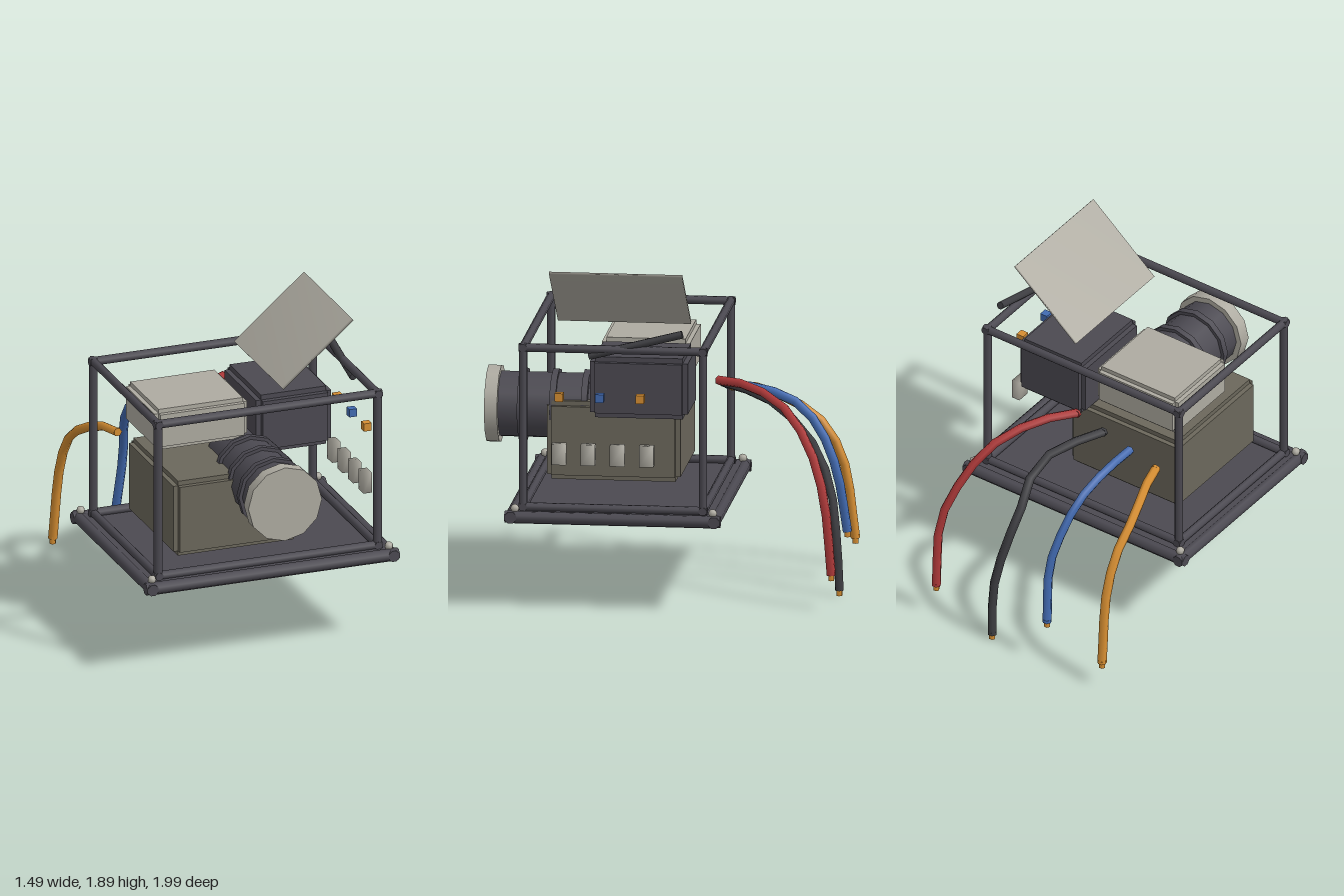
import * as THREE from 'three';
import { mergeVertices } from 'three/addons/utils/BufferGeometryUtils.js';

const material = (name, color) => {
  const m = new THREE.MeshStandardMaterial({ color });
  m.name = name;
  return m;
};

export function createModel() {
  const charcoal = material('charcoal', 0x4b4951);
  const black = material('black', 0x3e3e42);
  const lightGrey = material('light grey', 0xaeaba1);
  const olive = material('olive grey', 0x6b675b);
  const red = material('red', 0xb03a3a);
  const blue = material('blue', 0x426bb2);
  const orange = material('orange', 0xd68e32);

  const model = new THREE.Group();
  model.name = 'cameraRig';

  const add = (name, geometry, mat, x = 0, y = 0, z = 0, parent = model) => {
    const mesh = new THREE.Mesh(geometry, mat);
    mesh.name = name;
    mesh.position.set(x, y, z);
    parent.add(mesh);
    return mesh;
  };

  // Straight bar between two points
  const up = new THREE.Vector3(0, 1, 0);
  const bar = (name, from, to, radius, mat, sides = 8) => {
    const a = new THREE.Vector3(...from), b = new THREE.Vector3(...to);
    const dir = b.clone().sub(a);
    const geo = new THREE.CylinderGeometry(radius, radius, dir.length(), sides);
    geo.rotateY(Math.PI / sides);
    const mesh = add(name, geo, mat);
    mesh.position.copy(a).add(b).multiplyScalar(0.5);
    mesh.quaternion.setFromUnitVectors(up, dir.normalize());
    return mesh;
  };

  // Rectangle of four bars
  const barRing = (name, x, y, z0, z1, r) => {
    for (const z of [z0, z1]) bar(name, [-x - r, y, z], [x + r, y, z], r, charcoal);
    for (const s of [-x, x]) bar(name, [s, y, z0 - r], [s, y, z1 + r], r, charcoal);
  };

  // Box whose edges are stepped in, made of three crossing blocks
  const steppedBox = (name, min, max, step, mat) => {
    const group = new THREE.Group();
    group.name = name;
    const size = max.map((v, i) => v - min[i]);
    group.position.set(...max.map((v, i) => (v + min[i]) / 2));
    for (let axis = 0; axis < 3; axis++) {
      const dims = size.map((v, i) => (i === axis ? v : v - 2 * step));
      add(name + 'Block', new THREE.BoxGeometry(...dims), mat, 0, 0, 0, group);
    }
    model.add(group);
  };

  // Box with shared, smoothed corner normals
  const softBox = (w, h, d) => {
    const geo = new THREE.BoxGeometry(w, h, d);
    geo.deleteAttribute('normal');
    geo.deleteAttribute('uv');
    const merged = mergeVertices(geo);
    merged.computeVertexNormals();
    return merged;
  };

  // Base tray with its rim and corner bolts
  add('basePlate', new THREE.BoxGeometry(1.45, 0.06, 1.16), charcoal, 0, 0.528, 0.225);
  barRing('baseRim', 0.712, 0.532, -0.34, 0.79, 0.034);
  for (const x of [-0.7, 0.7]) for (const z of [-0.33, 0.77]) {
    add('cornerBolt', new THREE.SphereGeometry(0.024, 8, 6), lightGrey, x, 0.577, z);
  }

  // Cage
  barRing('lowerRail', 0.648, 0.577, -0.27, 0.73, 0.024);
  barRing('upperRail', 0.648, 1.477, -0.27, 0.73, 0.024);
  for (const x of [-0.648, 0.648]) for (const z of [-0.27, 0.73]) {
    bar('cagePost', [x, 0.56, z], [x, 1.498, z], 0.024, charcoal);
  }
  bar('tiltedRod', [0.645, 1.437, 0.365], [0.645, 1.572, -0.155], 0.022, black);

  // Equipment boxes
  steppedBox('mainBody', [-0.517, 0.635, -0.09], [0.22, 1.077, 0.653], 0.027, olive);
  steppedBox('upperModule', [-0.522, 1.16, -0.12], [0.025, 1.4, 0.37], 0.025, lightGrey);
  steppedBox('sideModule', [0.077, 1.057, -0.167], [0.52, 1.4, 0.378], 0.029, charcoal);

  // Tilted reflector panel
  const panel = add('reflectorPanel', softBox(0.545, 0.016, 0.74), lightGrey, 0.346, 1.703, 0.227);
  panel.rotation.z = Math.atan2(0.355, 0.415);

  // Lens: barrel sections, rings and front cap as [name, radius, back, front]
  const lens = [
    ['lensRear', 0.165, 0.2, 0.45, charcoal],
    ['lensBarrel', 0.185, 0.43, 0.94, charcoal],
    ['lensRing', 0.205, 0.43, 0.465, charcoal],
    ['lensRing', 0.205, 0.605, 0.64, charcoal],
    ['lensRing', 0.205, 0.783, 0.82, charcoal],
    ['lensCap', 0.217, 0.928, 1.0, lightGrey],
  ];
  for (const [name, r, z0, z1, mat] of lens) {
    const geo = new THREE.CylinderGeometry(r, r, z1 - z0, 12);
    geo.rotateX(Math.PI / 2);
    add(name, geo, mat, 0, 1.01, (z0 + z1) / 2);
  }

  // Side buttons and indicator lamps
  for (let i = 0; i < 4; i++) {
    add('sideButton', softBox(0.05, 0.118, 0.08), lightGrey, 0.652, 0.881, 0.53 - i * 0.1625);
  }
  [[0.528, orange], [0.303, blue], [0.078, orange]].forEach(([z, mat]) => {
    add('indicatorLamp', new THREE.BoxGeometry(0.045, 0.046, 0.046), mat, 0.66, 1.205, z);
  });

  // Hanging cables with bare tips
  const cable = (name, mat, points) => {
    const pts = points.map((p) => new THREE.Vector3(...p));
    const curve = new THREE.CatmullRomCurve3(pts, false, 'centripetal');
    add(name, new THREE.TubeGeometry(curve, 9, 0.026, 6), mat);
    const end = points[points.length - 1];
    bar(name + 'End', [end[0], end[1] + 0.02, end[2]], end, 0.025, mat, 6);
    bar(name + 'Tip', end, [end[0], end[1] - 0.03, end[2]], 0.018, orange, 6);
    const start = points[0];
    bar(name + 'Start', start, [start[0], start[1], start[2] - 0.015], 0.025, mat, 6);
  };
  cable('redCable', red, [
    [0.03, 1.18, -0.28], [0.17, 1.18, -0.48], [0.32, 1.08, -0.7],
    [0.43, 0.86, -0.85], [0.5, 0.62, -0.925], [0.5, 0.2, -0.965]]);
  cable('blackCable', black, [
    [-0.15, 1.13, -0.28], [-0.03, 1.1, -0.48], [0.05, 1.03, -0.64],
    [0.04, 0.82, -0.82], [0.08, 0.6, -0.91], [0.125, 0.33, -0.95], [0.122, 0.03, -0.965]]);
  cable('blueCable', blue, [
    [-0.325, 1.08, -0.28], [-0.31, 1.06, -0.5], [-0.285, 0.98, -0.7],
    [-0.255, 0.82, -0.83], [-0.228, 0.62, -0.91], [-0.25, 0.28, -0.965]]);
  cable('orangeCable', orange, [
    [-0.5, 1.03, -0.28], [-0.535, 1.02, -0.42], [-0.59, 0.93, -0.63],
    [-0.6, 0.81, -0.79], [-0.607, 0.6, -0.9], [-0.622, 0.16, -0.965]]);

  return model;
}
